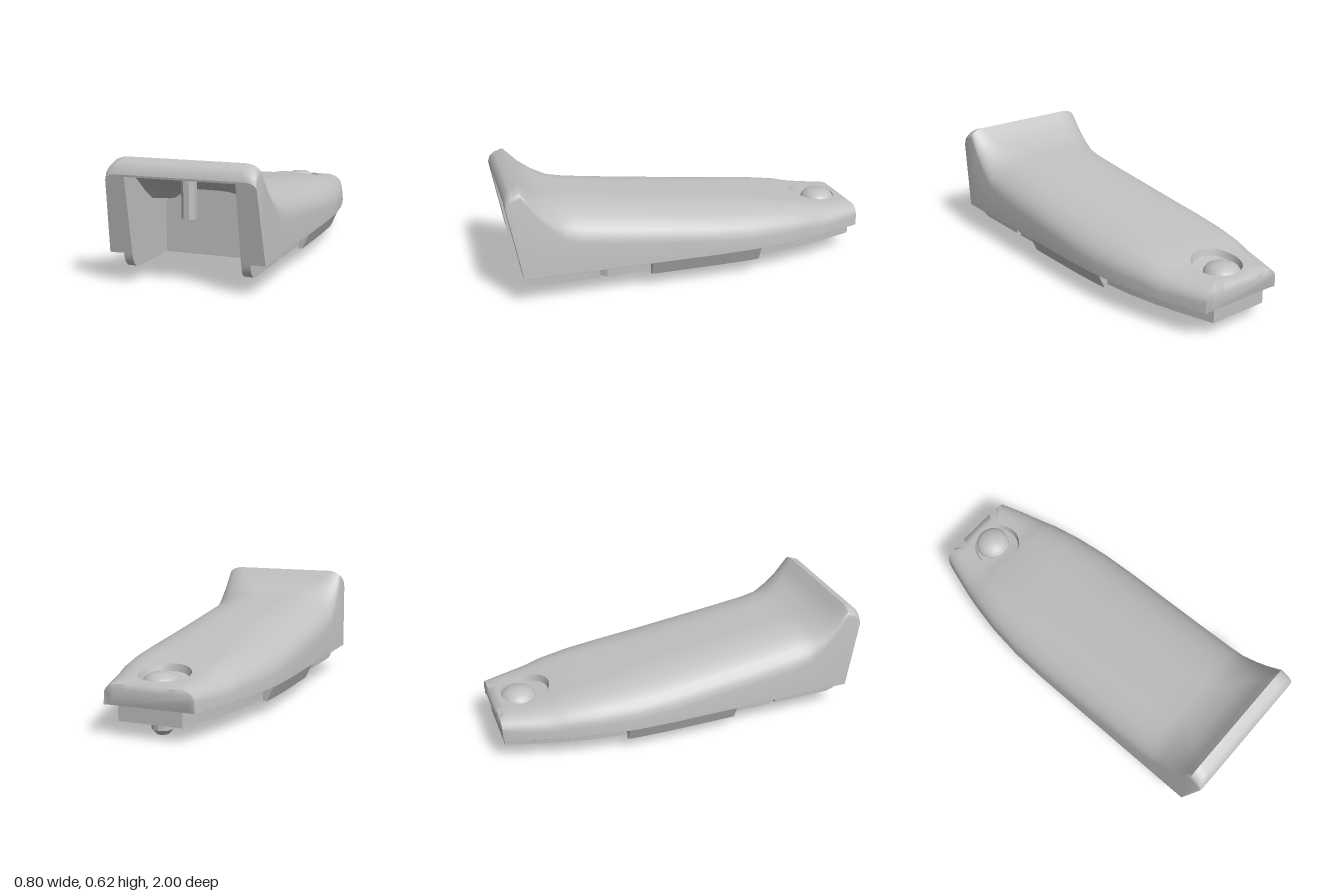
import * as THREE from 'three';
import { toCreasedNormals } from 'three/addons/utils/BufferGeometryUtils.js';

const BASE = 0.155;  // lower edge of the shell
const FOOT = 0.077;  // lower edge of skirts and ribs
const DIMPLE = { z: -0.81, r: 0.13, depth: 0.035 };
const STEPS = [0.13, 0.12, 0.1, 0.07, 0.035]; // grid spacing across the dimple

// z, top height, half width, shoulder radius across, shoulder radius up
const KEYS = [
  [-1, 0.235, 0.21, 0.03, 0.03], [-0.99, 0.262, 0.238, 0.06, 0.05], [-0.96, 0.276, 0.25, 0.1, 0.07],
  [-0.85, 0.283, 0.285, 0.12, 0.08], [-0.75, 0.295, 0.315, 0.14, 0.1], [-0.65, 0.32, 0.34, 0.17, 0.11],
  [-0.5, 0.34, 0.37, 0.2, 0.13], [-0.3, 0.365, 0.393, 0.25, 0.15], [-0.1, 0.39, 0.4, 0.28, 0.16],
  [0.4, 0.452, 0.4, 0.28, 0.17], [0.6, 0.478, 0.4, 0.28, 0.17], [0.7, 0.494, 0.4, 0.26, 0.16],
  [0.78, 0.522, 0.4, 0.2, 0.12], [0.85, 0.56, 0.4, 0.13, 0.08], [0.92, 0.625, 0.4, 0.08, 0.045],
];

function keyAt(z) {
  let i = 0;
  while (i < KEYS.length - 2 && KEYS[i + 1][0] < z) i++;
  const a = KEYS[i], b = KEYS[i + 1];
  const k = THREE.MathUtils.clamp((z - a[0]) / (b[0] - a[0]), 0, 1);
  return a.map((v, n) => v + (b[n] - v) * k);
}
const halfWidth = (z) => keyAt(z)[2];
const frontZ = (y) => 0.93 + 0.177 * (y - BASE);

// Arch from the +x foot over the top to the -x foot
function arch(t, w, rx, ry, zOf) {
  const lean = (y) => w - 0.055 * (y - BASE);
  const right = [[w, BASE]];
  for (let i = 0; i <= 8; i++) {
    const a = (i / 8) * Math.PI / 2;
    const y = t - ry + ry * Math.sin(a);
    right.push([lean(y) - rx + rx * Math.cos(a), y]);
  }
  const fit = Math.min(1, (lean(t) - rx) / 0.14);
  STEPS.forEach((x) => right.push([x * fit, t]));
  const left = right.map(([x, y]) => [-x, y]).reverse();
  return [...right, [0, t], ...left].map(([x, y]) => [x, y, zOf(y)]);
}

// Bends the square grid on the top into a circle and sinks the floor inside it
function sinkDimple([x, y, z], t) {
  const dz = z - DIMPLE.z, m = Math.max(Math.abs(x), Math.abs(dz));
  if (y < t - 1e-6 || m > 0.17 || m === 0) return [x, m === 0 ? y - DIMPLE.depth : y, z];
  const blend = THREE.MathUtils.clamp((m - DIMPLE.r) / 0.04, 0, 1);
  const f = THREE.MathUtils.lerp(m / Math.hypot(x, dz), 1, blend);
  const nz = DIMPLE.z + dz * f;
  return [x * f, keyAt(nz)[1] - (m < 0.125 ? DIMPLE.depth : 0), nz];
}

// Skin over a list of equal-length cross-sections
function loft(sections, closed = false, capStart = false, capEnd = false) {
  const n = sections[0].length, idx = [];
  for (let i = 0; i < sections.length - 1; i++) {
    for (let j = 0; j < (closed ? n : n - 1); j++) {
      const a = i * n + j, b = i * n + (j + 1) % n;
      idx.push(a, b, b + n, a, b + n, a + n);
    }
  }
  const last = (sections.length - 1) * n;
  for (let j = 1; j < n - 1; j++) {
    if (capStart) idx.push(0, j + 1, j);
    if (capEnd) idx.push(last, last + j, last + j + 1);
  }
  const g = new THREE.BufferGeometry();
  g.setAttribute('position', new THREE.Float32BufferAttribute(sections.flat(2), 3));
  g.setIndex(idx);
  return g;
}

const polygon = (pts) => new THREE.Shape(pts.map(([x, y]) => new THREE.Vector2(x, y)));
const extrude = (shape, depth) => new THREE.ExtrudeGeometry(shape, { depth, bevelEnabled: false });

export function createModel() {
  const group = new THREE.Group();
  const grey = new THREE.MeshStandardMaterial({ color: 0xc0c0c0, side: THREE.DoubleSide });
  grey.name = 'plain grey';
  const add = (name, geo, x = 0, y = 0, z = 0, crease = 0.5) => {
    const mesh = new THREE.Mesh(toCreasedNormals(geo, crease), grey);
    mesh.name = name;
    mesh.position.set(x, y, z);
    group.add(mesh);
  };

  // Outer shell, with a denser grid around the round dimple
  const zs = KEYS.map((k) => k[0]).filter((z) => z < -0.98 || z > -0.64);
  zs.push(DIMPLE.z, -0.96, -0.66, 0.15, 0.5, 0.65, 0.74, 0.815, 0.885);
  STEPS.forEach((d) => zs.push(DIMPLE.z - d, DIMPLE.z + d));
  zs.sort((a, b) => a - b);
  const outer = zs.map((z) => {
    const [, t, w, rx, ry] = keyAt(z);
    const zOf = z === -1 ? (y) => -1 + 0.015 * Math.max(0, 1 - (y - BASE) / 0.08) : () => z;
    return arch(t, w, rx, ry, zOf).map((p) => sinkDimple(p, t));
  });
  const rim = arch(0.55, 0.4, 0.06, 0.03, frontZ);
  outer.push(
    arch(0.608, 0.4, 0.078, 0.043, (y) => 0.923 + 0.098 * (y - BASE)),
    arch(0.585, 0.4, 0.07, 0.038, (y) => 0.927 + 0.149 * (y - BASE)),
    rim,
  );
  add('shell', loft(outer, false, true), 0, 0, 0, 0.9);

  // Underside of the shell
  const inner = [-0.95, -0.85, -0.75, -0.65, -0.5, -0.3, -0.1, 0.4, 0.55, 0.7, 0.78, 0.85, 0.9].map((z) => {
    const [, t, w, rx, ry] = keyAt(z);
    return arch(Math.min(t - 0.048, 0.54), w - 0.05, rx, ry, () => z).reverse();
  });
  inner.push(arch(0.54, 0.35, 0.07, 0.03, (y) => frontZ(y) - 0.005).reverse());
  add('shellUnderside', loft(inner), 0, 0, 0, 0.25);

  // Sloping front face around the slot
  const face = new THREE.ShapeGeometry(polygon([
    ...rim, [-0.28, BASE], [-0.28, 0.54], [0.28, 0.54], [0.28, BASE],
  ]));
  const fp = face.attributes.position;
  for (let i = 0; i < fp.count; i++) fp.setZ(i, frontZ(fp.getY(i)));
  add('frontFace', face);

  // Slot cheeks with rounded toes, profile drawn in (z, y)
  const cheek = polygon([[0.53, FOOT], [0.86, FOOT], [0.895, 0.087], [0.915, 0.107], [0.925, 0.132],
    [0.93, BASE], [0.997, 0.54], [0.86, 0.53], [0.76, 0.45], [0.68, 0.4], [0.53, 0.36]]);
  for (const s of [1, -1]) {
    add(s > 0 ? 'leftCheek' : 'rightCheek', extrude(cheek, 0.045).rotateY(-Math.PI / 2), s > 0 ? 0.325 : -0.28);
  }

  // Wall at the back of the slot
  const wallTop = [[0.325, 0.345], [0.24, 0.357], [0.19, 0.39], [0.13, 0.413], [0.05, 0.428]];
  const wall = polygon([[-0.325, FOOT], [0.325, FOOT], ...wallTop,
    ...wallTop.map(([x, y]) => [-x, y]).reverse()]);
  add('slotWall', extrude(wall, 0.02), 0, 0, 0.53);

  // Peg under the front lip
  add('lipPeg', new THREE.CylinderGeometry(0.037, 0.037, 0.2, 8).rotateY(Math.PI / 8), 0, 0.44, 0.88);

  // Lower edge of the shell wall, with a tapered skirt hanging from its middle
  const edgeKeys = [[-0.975, 0.154], [-0.85, 0.154], [-0.75, 0.154], [-0.65, 0.154], [-0.5, 0.154],
    [-0.35, 0.154], [-0.35, FOOT], [-0.3, FOOT], [-0.1, FOOT], [0.26, FOOT], [0.26, 0.154], [0.93, 0.154]];
  for (const s of [1, -1]) {
    const sections = edgeKeys.map(([z, low]) => {
      const w = halfWidth(z), cut = 0.035 * (BASE - low) / (BASE - FOOT);
      const quad = [[w - 0.055, low, z], [w - cut, low, z], [w, BASE, z], [w - 0.055, BASE, z]];
      return s > 0 ? quad : quad.map(([x, y, pz]) => [-x, y, pz]).reverse();
    });
    add(s > 0 ? 'leftSkirt' : 'rightSkirt', loft(sections, true, true, true), 0, 0, 0, 0.3);
  }

  // Rib ring that follows the outline inside the skirts
  const loop = (inset, z0, z1) => {
    const side = [z0, z0 - 0.06, 0.3, -0.1, -0.3, -0.5, -0.65, -0.8, z1]
      .map((z, i) => [halfWidth(z) - inset - (i === 0 ? 0.05 : 0), -z]);
    return [...side, ...side.map(([x, y]) => [-x, y]).reverse()];
  };
  const ring = polygon(loop(0.075, 0.55, -0.975));
  ring.holes.push(polygon(loop(0.115, 0.51, -0.94)));
  add('ribRing', extrude(ring, 0.12).rotateX(-Math.PI / 2), 0, FOOT);

  // Stiffening ribs
  for (const x of [-0.12, 0.12]) add('longRib', new THREE.BoxGeometry(0.02, 0.17, 1.15), x, 0.19, -0.05);
  for (const z of [0.3, 0, -0.35]) {
    add('crossRib', new THREE.BoxGeometry(2 * (halfWidth(z) - 0.09), 0.09, 0.02), 0, 0.155, z);
  }

  // Push button with its pin and guide
  const lathe = (pts, n) => new THREE.LatheGeometry(pts.map(([x, y]) => new THREE.Vector2(x, y)), n);
  add('button', lathe([[0.097, 0.235], [0.095, 0.262], [0.08, 0.283], [0.05, 0.299], [0, 0.306]], 16), 0, 0, -0.85);
  add('pin', lathe([[0, 0], [0.033, 0], [0.055, 0.025], [0.055, 0.25]], 12), 0, 0, -0.84);
  add('pinGuide', lathe([[0.08, 0.24], [0.08, 0.11], [0.1, 0.11], [0.1, 0.24]], 20), 0, 0, -0.83);

  return group;
}
